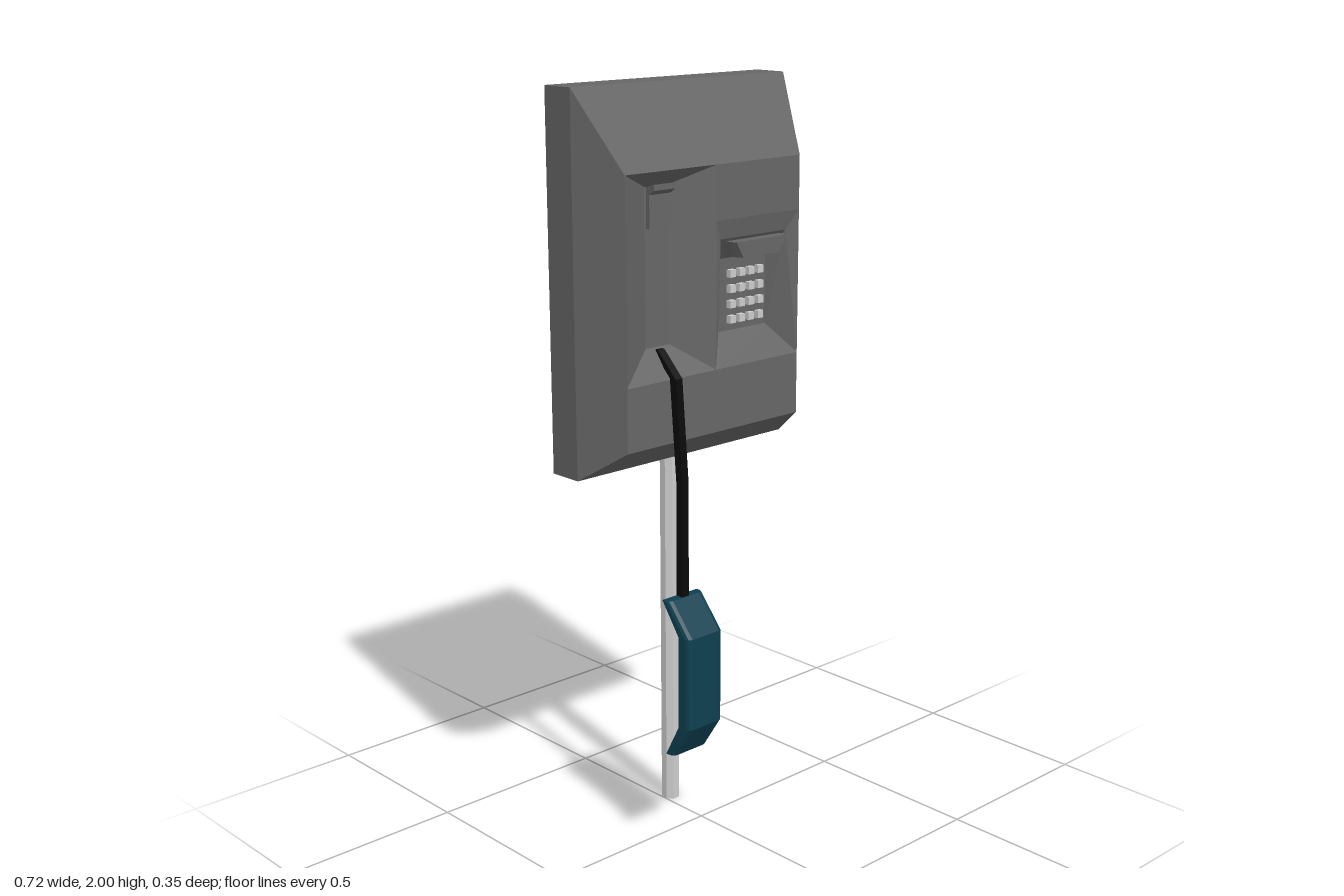
import * as THREE from 'three';

// Flat-shaded mesh from convex polygons, corners counter-clockwise seen from outside
function polyMesh(name, polys, mat) {
  const pos = [];
  for (const p of polys)
    for (let i = 1; i < p.length - 1; i++) pos.push(...p[0], ...p[i], ...p[i + 1]);
  const geo = new THREE.BufferGeometry();
  geo.setAttribute('position', new THREE.Float32BufferAttribute(pos, 3));
  geo.computeVertexNormals();
  const mesh = new THREE.Mesh(geo, mat);
  mesh.name = name;
  return mesh;
}

// Polygons joining successive rings, with optional end caps
function loft(rings, capStart, capEnd) {
  const polys = [];
  for (let i = 0; i < rings.length - 1; i++) {
    const a = rings[i], b = rings[i + 1];
    a.forEach((p, j) => {
      const k = (j + 1) % a.length;
      polys.push([p, a[k], b[k], b[j]]);
    });
  }
  if (capStart) polys.push([...rings[0]].reverse());
  if (capEnd) polys.push(rings[rings.length - 1]);
  return polys;
}

// Upright rectangle at depth z, and level rectangle at height y
const rect = (x0, x1, y0, y1, z) => [[x0, y0, z], [x1, y0, z], [x1, y1, z], [x0, y1, z]];
const level = (x, y, z, r) => [[x - r, y, z + r], [x + r, y, z + r], [x + r, y, z - r], [x - r, y, z - r]];

export function createModel() {
  const model = new THREE.Group();
  const material = (color) => new THREE.MeshStandardMaterial({ color, flatShading: true });
  const shell = material(0x666666);
  const grey = material(0xcccccc);
  const black = material(0x0a0a0a);
  const teal = material(0x0e4050);
  const front = 0.055, floor = 0;

  // Housing: bevelled shell, plain front strips and two recesses
  const housing = loft([
    rect(-0.36, 0.36, 1.03, 2, -0.165),
    rect(-0.36, 0.36, 1.03, 2, -0.07),
    rect(-0.3, 0.297, 1.115, 1.8, front),
  ], true, false);
  housing.push(rect(-0.3, 0.297, 1.115, 1.28, front), rect(0, 0.297, 1.66, 1.8, front));
  model.add(polyMesh('housing', housing, shell));

  // Handset cradle recess
  model.add(polyMesh('cradleRecess', loft([
    rect(-0.3, 0, 1.28, 1.8, front),
    rect(-0.19, -0.11, 1.355, 1.757, floor),
  ], false, true), shell));

  // Keypad recess with an overhanging hood at the top
  const A = rect(0, 0.297, 1.28, 1.66, front);
  const B = rect(0.06, 0.23, 1.36, 1.55, floor);
  const hoodL = [0.025, 1.61, 0.045], hoodR = [0.258, 1.61, 0.045];
  model.add(polyMesh('keypadRecess', [
    B,
    [A[0], A[1], B[1], B[0]],
    [hoodR, B[2], B[1], A[1], A[2]],
    [hoodL, A[3], A[0], B[0], B[3]],
    [A[2], A[3], hoodL, hoodR],
    [hoodR, hoodL, B[3], B[2]],
  ], shell));

  // Display panel under the hood: a tapered plate
  const panel = (grow, z) => [
    [0.077 - grow, 1.56, z], [0.214 + grow, 1.56, z],
    [0.238 + grow, 1.602, z], [0.053 - grow, 1.602, z],
  ];
  model.add(polyMesh('displayPanel', loft([panel(0.004, 0.01), panel(0.004, front), panel(-0.004, 0.07)], true, true), shell));

  // Handset hook: thin plate with a sloping lip above
  const hook = new THREE.Group();
  hook.name = 'hook';
  const plate = new THREE.Mesh(new THREE.BoxGeometry(0.07, 0.1, 0.014), shell);
  plate.position.set(-0.15, 1.705, floor + 0.005);
  plate.name = 'hookPlate';
  hook.add(plate);
  hook.add(polyMesh('hookLip', loft([
    rect(-0.185, -0.115, 1.73, 1.757, floor),
    rect(-0.185, -0.115, 1.75, 1.765, floor + 0.03),
  ], false, true), shell));
  model.add(hook);

  // Keypad: four by four buttons
  const keypad = new THREE.Group();
  keypad.name = 'keypad';
  const keyGeo = new THREE.BoxGeometry(0.02, 0.02, 0.016);
  for (let row = 0; row < 4; row++)
    for (let col = 0; col < 4; col++) {
      const key = new THREE.Mesh(keyGeo, grey);
      key.name = 'key';
      key.position.set(0.1 + col * 0.0335, 1.39 + row * 0.04, floor + 0.006);
      keypad.add(key);
    }
  model.add(keypad);

  // Cord: square section hanging from the cradle to the handset
  const cordPath = [[0.7, 0.09], [1.02, 0.09], [1.285, 0.068], [1.35, 0.002]];
  model.add(polyMesh('cord', loft(cordPath.map(([y, z]) => level(-0.15, y, z, 0.011)), true, true), black));

  // Handset: bent bar with rounded outer edges, stations are [y, back z, front z]
  const stations = [[0.29, 0.09, 0.117], [0.38, 0.138, 0.176], [0.63, 0.138, 0.176], [0.715, 0.078, 0.103]];
  const handsetRings = stations.map(([y, zb, zf]) => {
    const half = [[0.06, zb], [0.06, zf - 0.014], [0.056, zf - 0.004], [0.046, zf]];
    const right = half.map(([x, z]) => [-0.15 + x, y, z]);
    const left = half.map(([x, z]) => [-0.15 - x, y, z]);
    return [...left, ...right.reverse()];
  });
  model.add(polyMesh('handset', loft(handsetRings, true, true), teal));

  // Pole: octagonal post behind the housing
  const pole = new THREE.Mesh(new THREE.CylinderGeometry(0.026, 0.026, 1.29, 8), grey);
  pole.name = 'pole';
  pole.rotation.y = Math.PI / 8;
  pole.position.set(0.025, 0.645, -0.153);
  model.add(pole);

  return model;
}
